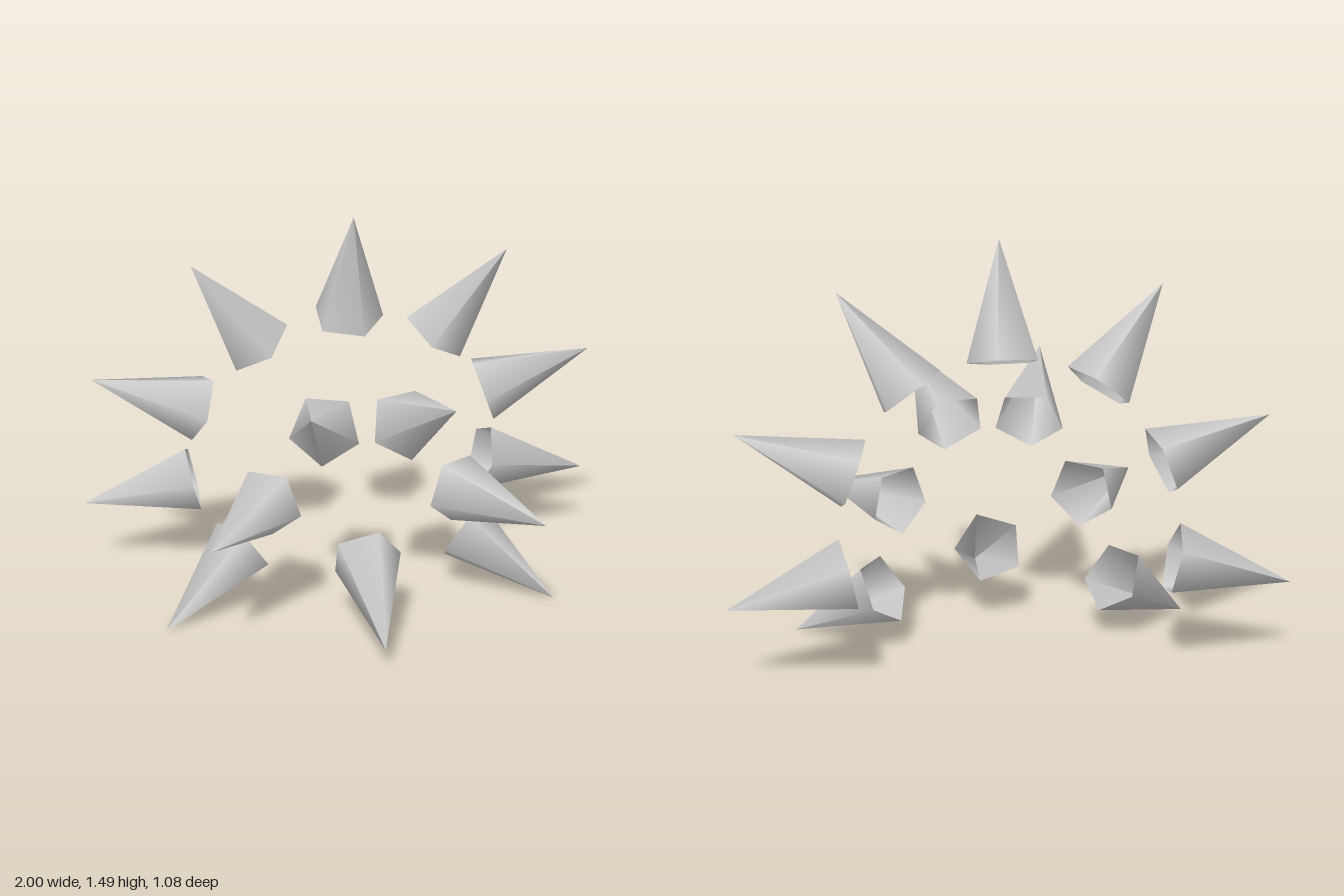
import * as THREE from 'three';

// All spikes point away from one common centre
const CENTRE = new THREE.Vector3(0, 0.516, -0.391);
const LENGTH = 0.435;
const RADIUS = 0.133;
const UP = new THREE.Vector3(0, 1, 0);

// Tip position and roll (degrees) of each spike; paired ones are mirrored in x
const SPIKES = [
  { name: 'topSpike', tip: [0, 1.495, -0.1], roll: 0 },
  { name: 'bottomFrontSpike', tip: [0, 0.095, 0.535], roll: 0 },
  { name: 'upperSpike', tip: [0.58, 1.33, -0.155], roll: 32, pair: true },
  { name: 'sideSpike', tip: [0.95, 0.87, -0.29], roll: 20, pair: true },
  { name: 'upperFrontSpike', tip: [0.25, 0.97, 0.487], roll: 0, pair: true },
  { name: 'middleFrontSpike', tip: [0.6, 0.48, 0.43], roll: 57, pair: true },
  { name: 'lowerSideSpike', tip: [0.998, 0.295, -0.46], roll: 20, pair: true },
  { name: 'lowerSpike', tip: [0.74, 0.003, 0.087], roll: 34, pair: true },
];

const material = new THREE.MeshStandardMaterial({ color: 0xcccccc, side: THREE.DoubleSide });

// Hollow five-sided cone, open at the base, with its tip at the given point
function makeSpike(name, tip, roll) {
  const start = THREE.MathUtils.degToRad(90 - roll);
  const geometry = new THREE.ConeGeometry(RADIUS, LENGTH, 5, 1, true, start);
  geometry.translate(0, -LENGTH / 2, 0);
  const mesh = new THREE.Mesh(geometry, material);
  mesh.name = name;
  mesh.position.copy(tip);
  mesh.quaternion.setFromUnitVectors(UP, tip.clone().sub(CENTRE).normalize());
  return mesh;
}

export function createModel() {
  const group = new THREE.Group();
  group.name = 'spikeCluster';
  for (const { name, tip, roll, pair } of SPIKES) {
    const [x, y, z] = tip;
    group.add(makeSpike(pair ? name + 'Left' : name, new THREE.Vector3(x, y, z), roll));
    if (pair) group.add(makeSpike(name + 'Right', new THREE.Vector3(-x, y, z), 180 - roll));
  }
  return group;
}
